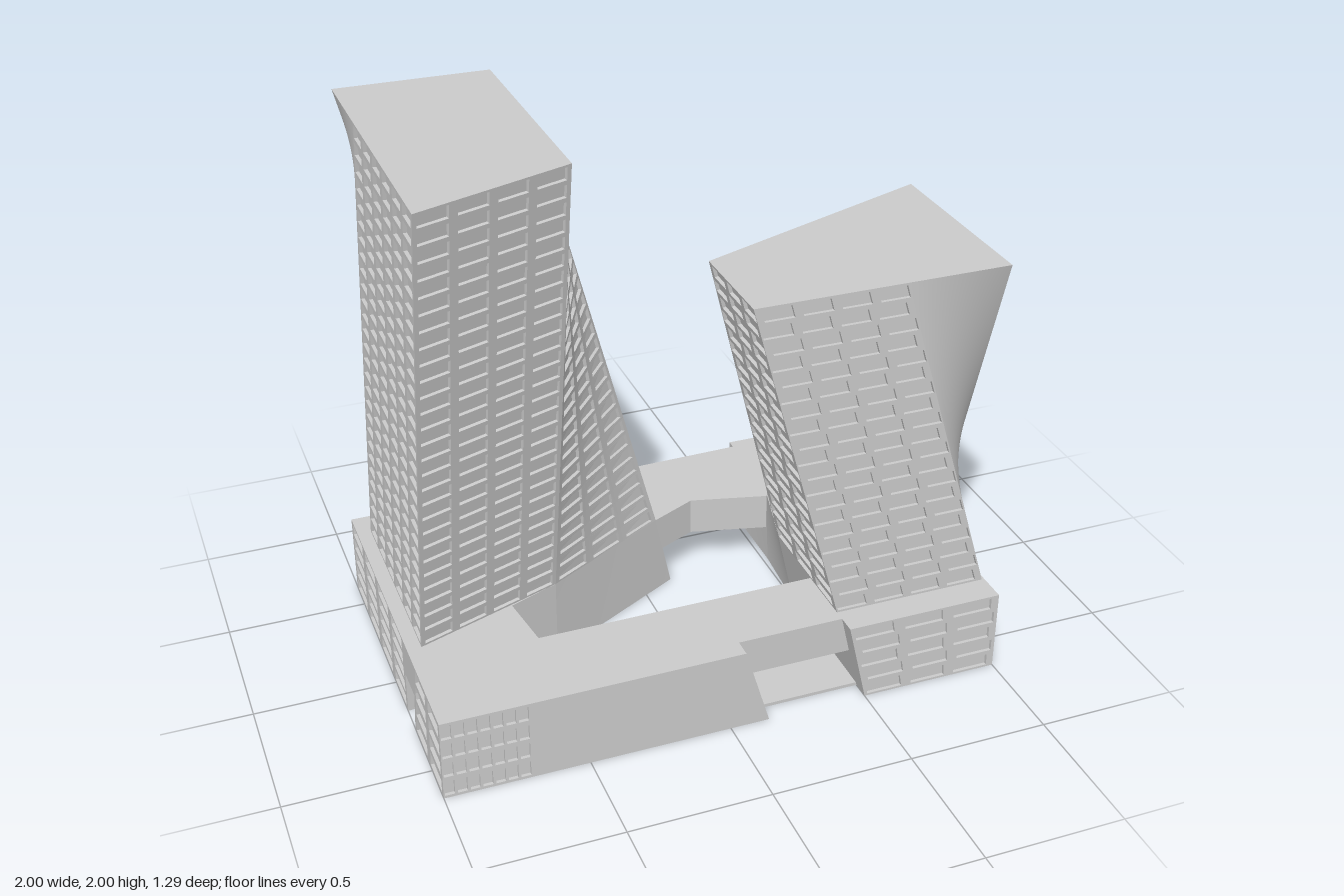
import * as THREE from 'three';
import { mergeGeometries } from 'three/addons/utils/BufferGeometryUtils.js';

const material = new THREE.MeshStandardMaterial({ color: 0xcccccc, side: THREE.DoubleSide });

// Ruled surface between edge a (left) and edge b (right): p(u, v), v = 0 at the bottom
function ruled(a, b, y0, y1) {
  const at = (e, y, i) => new THREE.Vector3(e[i][0], y, e[i][1]);
  const [ta, tb, ba, bb] = [at(a, y1, 0), at(b, y1, 0), at(a, y0, 1), at(b, y0, 1)];
  return (u, v) => ba.clone().lerp(bb, u).lerp(ta.clone().lerp(tb, u), v);
}

// Plain wall, smooth where it twists
function plainWall(p) {
  const n = 14, pos = [], index = [];
  for (let j = 0; j <= n; j++) {
    for (let i = 0; i <= n; i++) {
      pos.push(...p(i / n, j / n).toArray());
      if (i < n && j < n) {
        const k = j * (n + 1) + i;
        index.push(k, k + 1, k + n + 2, k, k + n + 2, k + n + 1);
      }
    }
  }
  const g = new THREE.BufferGeometry();
  g.setAttribute('position', new THREE.Float32BufferAttribute(pos, 3));
  g.setIndex(index);
  g.computeVertexNormals();
  return g.toNonIndexed();
}

// Wall of cols x rows cells, each with a recessed window pocket
function windowWall(p, cols, rows, stagger = 0, depth = 0.012) {
  const pos = [];
  const quad = (a, b, c, d) => [a, b, c, a, c, d].forEach((q) => pos.push(q.x, q.y, q.z));
  const rect = (u0, u1, v0, v1) => [p(u0, v0), p(u1, v0), p(u1, v1), p(u0, v1)];
  for (let j = 0; j < rows; j++) {
    const shift = j % 2 ? stagger : -stagger;
    for (let i = 0; i < cols; i++) {
      const outer = rect(i / cols, (i + 1) / cols, j / rows, (j + 1) / rows);
      const inner = rect((i + 0.11 + shift) / cols, (i + 0.89 + shift) / cols,
        (j + 0.13) / rows, (j + 0.87) / rows);
      const normal = outer[2].clone().sub(outer[0])
        .cross(outer[3].clone().sub(outer[1])).normalize();
      const pane = inner.map((q) => q.clone().addScaledVector(normal, -depth));
      for (let k = 0; k < 4; k++) {
        const m = (k + 1) % 4;
        quad(outer[k], outer[m], inner[m], inner[k]);
        quad(inner[k], inner[m], pane[m], pane[k]);
      }
      quad(...pane);
    }
  }
  const g = new THREE.BufferGeometry();
  g.setAttribute('position', new THREE.Float32BufferAttribute(pos, 3));
  g.computeVertexNormals();
  return g;
}

// Flat roof or underside
function cap(points, y, up) {
  const s = up ? -1 : 1;
  const shape = new THREE.Shape(points.map(([x, z]) => new THREE.Vector2(x, s * z)));
  const g = new THREE.ShapeGeometry(shape).rotateX(s * Math.PI / 2).translate(0, y, 0);
  g.deleteAttribute('uv');
  return g.toNonIndexed();
}

// Block lofted between two outlines. Each edge: [top xz, bottom xz, columns of
// windows on the wall that follows it (0 = plain)], going front, right, back, left.
function block(name, edges, y0, y1, rows = 5, stagger = 0) {
  const walls = edges.map((e, i) => {
    const p = ruled(e, edges[(i + 1) % edges.length], y0, y1);
    return e[2] ? windowWall(p, e[2], rows, stagger) : plainWall(p);
  });
  walls.push(cap(edges.map((e) => e[0]), y1, true), cap(edges.map((e) => e[1]), y0, false));
  const mesh = new THREE.Mesh(mergeGeometries(walls), material);
  mesh.name = name;
  return mesh;
}

// Edges of a straight-sided block
const straight = (points) => points.map((p) => [p, p, 0]);

export function createModel() {
  const group = new THREE.Group();
  group.name = 'twinTowerBuilding';
  const roof = 0.3, under = 0.16;

  // Tall tower: leaning faces joined by twisted ones
  group.add(block('tallTower', [
    [[-0.95, 0.545], [-0.95, 0.23], 4],
    [[-0.42, 0.35], [-0.42, 0.04], 3],
    [[-0.42, -0.1], [0.05, -0.22], 2],
    [[-0.42, -0.52], [0.05, -0.52], 4],
    [[-0.95, -0.52], [-0.52, -0.52], 0],
    [[-0.95, -0.21], [-0.95, -0.52], 6],
  ], roof, 2, 28));

  // Low tower
  group.add(block('lowTower', [
    [[0.09, 0.54], [0.43, 0.54], 4],
    [[0.62, 0.54], [0.99, 0.54], 0],
    [[0.99, 0.54], [0.99, 0.17], 7],
    [[0.99, -0.17], [0.99, -0.39], 4],
    [[0.46, 0.03], [0.5, -0.23], 3],
    [[0.09, 0.17], [0.43, 0.04], 3],
  ], roof, 1.52, 20, 0.07));

  // Podium under the tall tower
  group.add(block('podiumBack', [
    [[-1, 0.17], [-1, 0.17], 0],
    [[-0.6, 0.11], [-0.6, 0.11], 0],
    [[-0.42, 0.04], [-0.42, 0.04], 0],
    [[0.05, -0.22], [0.12, -0.25], 0],
    [[0.05, -0.62], [0.12, -0.62], 0],
    [[-1, -0.62], [-1, -0.62], 4],
  ], 0, roof));

  // Front wing of the podium
  group.add(block('podiumFrontWing', [
    [[-1, 0.645], [-1, 0.645], 7],
    [[-0.7, 0.645], [-0.7, 0.645], 0],
    [[0.05, 0.645], [0.14, 0.645], 0],
    [[0.05, 0.32], [0.14, 0.27], 0],
    [[-1, 0.32], [-1, 0.27], 2],
  ], 0, roof, 4));

  // Podium under the low tower
  group.add(block('podiumRight', [
    [[0.43, 0.645], [0.5, 0.645], 3],
    [[1, 0.645], [1, 0.645], 6],
    [[1, -0.645], [1, -0.645], 3],
    [[0.52, -0.645], [0.52, -0.645], 0],
    [[0.5, -0.23], [0.52, -0.25], 0],
    [[0.43, 0.04], [0.5, 0.04], 0],
  ], 0, roof, 5, 0.04));

  // Raised links between the podium blocks
  const links = {
    frontBridge: [[0.04, 0.58], [0.47, 0.58], [0.47, 0.32], [0.04, 0.32]],
    backBridge: [[0.05, -0.22], [0.22, -0.3], [0.5, -0.23], [0.53, -0.61], [0.05, -0.6]],
    leftBridge: [[-1, 0.32], [-0.57, 0.32], [-0.6, 0.11], [-1, 0.17]],
  };
  for (const [name, points] of Object.entries(links)) {
    group.add(block(name, straight(points), under, roof));
  }

  // Thin floor below the front bridge
  group.add(block('passageFloor',
    straight([[0.1, 0.58], [0.52, 0.58], [0.52, 0.3], [0.1, 0.3]]), 0, 0.012));
  return group;
}
